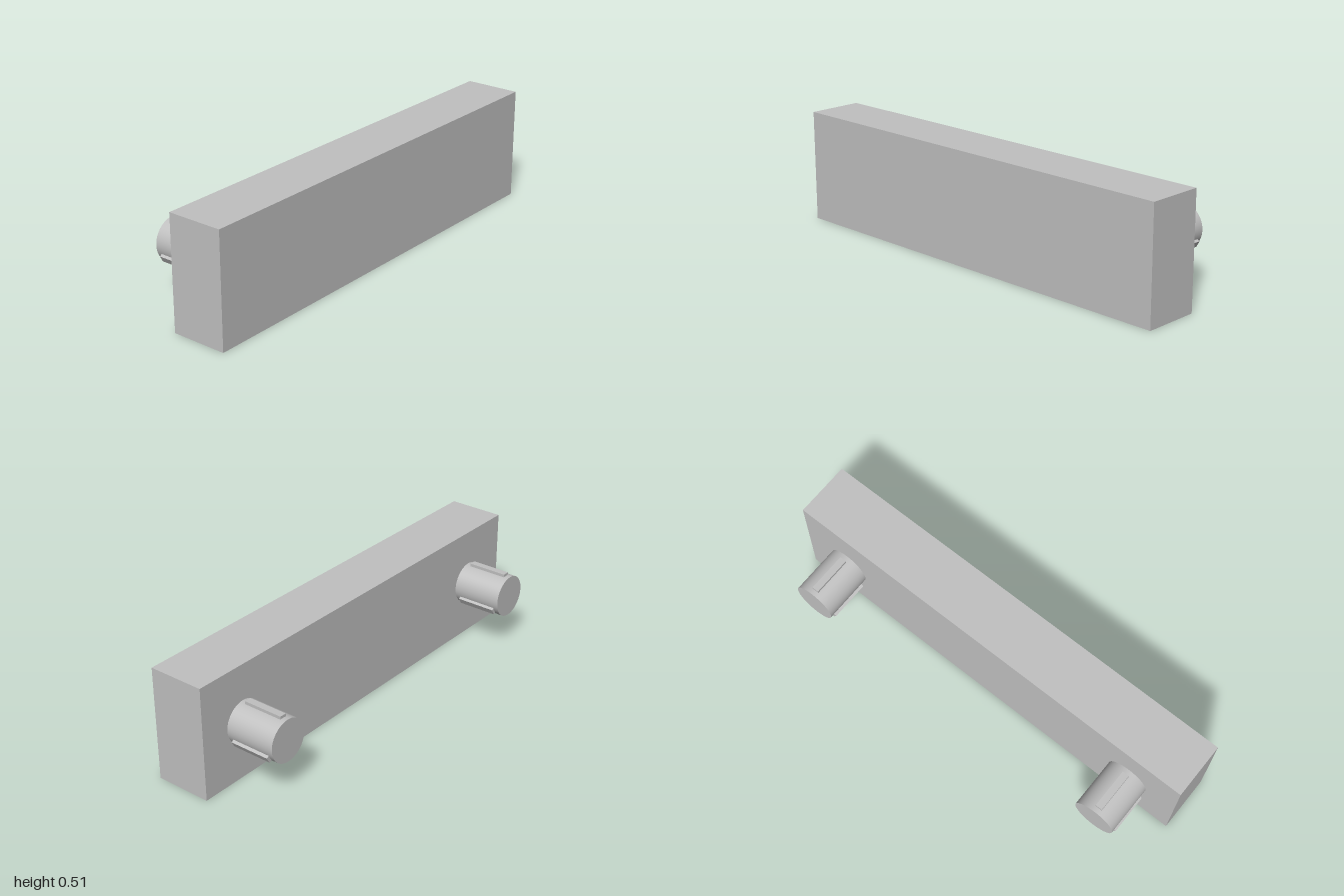
import * as THREE from 'three';

const grey = new THREE.MeshStandardMaterial({ color: 0xc0c0c0 });
grey.name = 'light grey';

function box(name, w, h, d, x, y, z) {
  const mesh = new THREE.Mesh(new THREE.BoxGeometry(w, h, d), grey);
  mesh.name = name;
  mesh.position.set(x, y, z);
  return mesh;
}

// Round dowel along x with three raised ribs spaced 120 degrees apart
function makePeg(name) {
  const peg = new THREE.Group();
  peg.name = name;
  const shaft = new THREE.Mesh(new THREE.CylinderGeometry(0.095, 0.095, 0.23, 48), grey);
  shaft.name = 'pegShaft';
  shaft.rotation.z = Math.PI / 2;
  peg.add(shaft);
  for (let i = 0; i < 3; i++) {
    const pivot = new THREE.Group();
    pivot.name = 'ribPivot';
    pivot.rotation.x = (i * 2 * Math.PI) / 3;
    // Rib is sunk slightly into the shaft
    pivot.add(box('pegRib', 0.183, 0.022, 0.031, -0.001, 0.096, 0));
    peg.add(pivot);
  }
  return peg;
}

export function createModel() {
  const model = new THREE.Group();
  model.name = 'peggedBlock';

  // Main bar
  model.add(box('block', 0.254, 0.51, 2, 0.115, 0.255, 0));

  // Pegs near both ends of the right face
  for (const [name, z] of [['frontPeg', 0.762], ['backPeg', -0.77]]) {
    const peg = makePeg(name);
    peg.position.set(-0.127, 0.256, z);
    model.add(peg);
  }
  return model;
}
